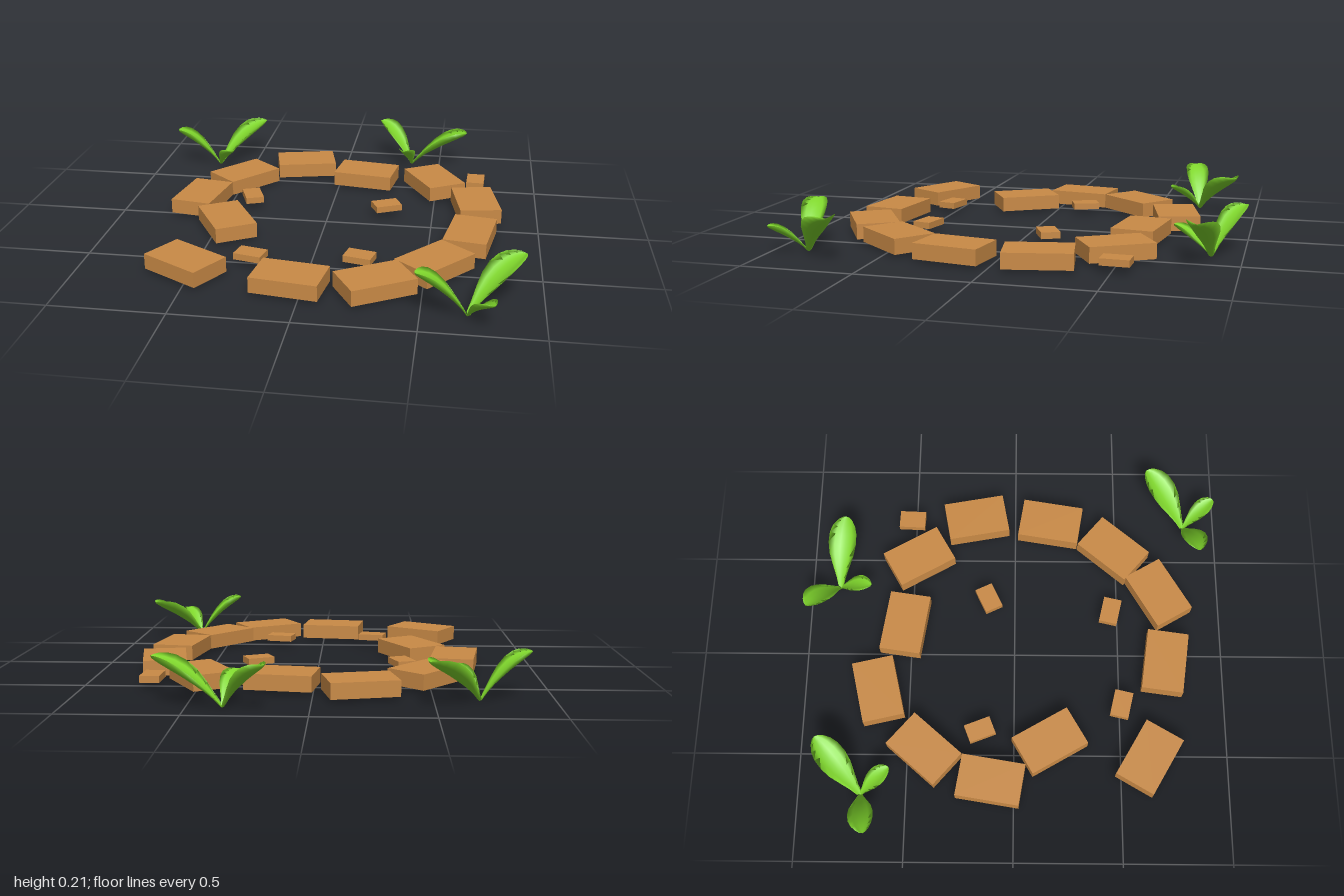
import * as THREE from 'three';

const brickMat = new THREE.MeshStandardMaterial({ color: 0xc98a46 });
const leafMat = new THREE.MeshStandardMaterial({ color: 0x7fd62c });

// Paving bricks: [x, z, turn about y]
const BRICKS = [
  [-0.20, -0.645, 0.23], [0.137, -0.53, -0.145], [0.49, -0.475, -1.05],
  [0.705, -0.195, -1.388], [0.685, 0.175, 1.41], [0.54, 0.485, 0.868],
  [0.305, 0.70, 0.53], [-0.05, 0.72, -0.135], [-0.52, 0.63, -0.528],
  [-0.445, 0.167, -1.047], [-0.633, -0.108, 1.41], [-0.488, -0.418, 0.858],
];
const CHIPS = [
  [0.70, -0.517, 1.53], [0.277, -0.128, 0.445], [-0.39, -0.16, -1.2],
  [-0.26, 0.508, -0.225], [0.214, 0.465, -0.225],
];
const PLANTS = [[-0.69, -0.71, 0], [0.35, -0.865, -0.85], [0.69, 0.845, 0]];

// Leaves of one plant: turn, reach, height, width
const LEAVES = [
  [0.724, 0.295, 0.20, 0.135],
  [3.37, 0.22, 0.20, 0.115],
  [-0.94, 0.172, 0.125, 0.085],
];

// Half-width along a leaf, as [fraction of reach, fraction of full half-width]
const OUTLINE = [
  [0, 0], [0.02, 0.2], [0.12, 0.34], [0.25, 0.6], [0.4, 0.88], [0.55, 1],
  [0.7, 0.97], [0.82, 0.8], [0.92, 0.52], [0.98, 0.25], [1, 0],
];

// Arching blade, closed and cupped, made of rings across its length
function leafGeometry(reach, height, width) {
  const half = 5, ring = half * 2;
  const pos = [], index = [];
  OUTLINE.forEach(([s, w]) => {
    const mid = height * (1 - (1 - s) ** 1.9);
    for (let k = 0; k < ring; k++) {
      const top = k <= half;
      const v = top ? -1 + (2 * k) / half : 1 - (2 * (k - half)) / half;
      const cup = w * width * 0.2 * (v * v - 0.4);
      const thick = top ? 0 : w * width * 0.2 * (1 - v * v);
      pos.push(s * reach, mid + cup - thick, (v * w * width) / 2);
    }
  });
  for (let i = 0; i < OUTLINE.length - 1; i++) {
    for (let k = 0; k < ring; k++) {
      const a = i * ring + k, b = i * ring + ((k + 1) % ring);
      index.push(a, b, b + ring, a, b + ring, a + ring);
    }
  }
  const g = new THREE.BufferGeometry();
  g.setAttribute('position', new THREE.Float32BufferAttribute(pos, 3));
  g.setIndex(index);
  g.computeVertexNormals();
  return g;
}

function addBlocks(parent, name, list, size) {
  const geo = new THREE.BoxGeometry(...size);
  for (const [x, z, turn] of list) {
    const m = new THREE.Mesh(geo, brickMat);
    m.name = name;
    m.position.set(x, 0.05, z);
    m.rotation.y = turn;
    parent.add(m);
  }
}

export function createModel() {
  const model = new THREE.Group();
  model.name = 'brickRingWithPlants';

  // Ring of bricks and scattered fragments
  addBlocks(model, 'brick', BRICKS, [0.297, 0.07, 0.196]);
  addBlocks(model, 'brickFragment', CHIPS, [0.127, 0.03, 0.087]);

  // Sprouts around the ring
  const leafGeos = LEAVES.map(([, r, h, w]) => leafGeometry(r, h, w));
  for (const [x, z, turn] of PLANTS) {
    const plant = new THREE.Group();
    plant.name = 'plant';
    plant.position.set(x, 0.003, z);
    plant.rotation.y = turn;
    LEAVES.forEach(([angle], i) => {
      const leaf = new THREE.Mesh(leafGeos[i], leafMat);
      leaf.name = 'leaf';
      leaf.rotation.y = angle;
      plant.add(leaf);
    });
    model.add(plant);
  }
  return model;
}
